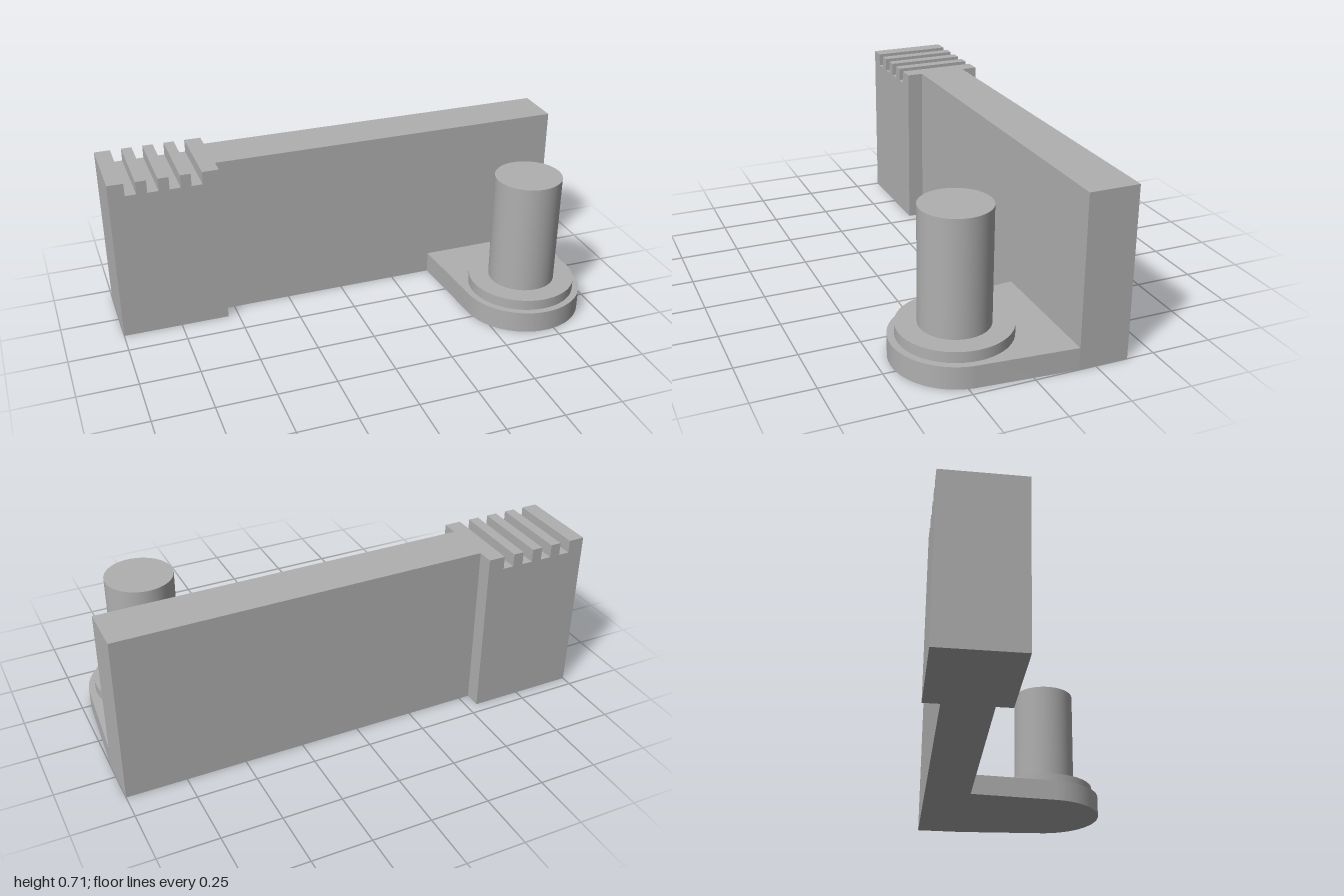
import * as THREE from 'three';
import { toCreasedNormals } from 'three/addons/utils/BufferGeometryUtils.js';

export function createModel() {
  const model = new THREE.Group();
  model.name = 'bracketWithPin';
  const grey = new THREE.MeshStandardMaterial({ color: 0xb0b0b0 });
  grey.name = 'plain grey';

  const add = (name, geometry, x = 0, y = 0, z = 0) => {
    const mesh = new THREE.Mesh(geometry, grey);
    mesh.name = name;
    mesh.position.set(x, y, z);
    model.add(mesh);
  };

  const height = 0.71, wallBack = -0.385, wallFront = -0.18;
  const blockEnd = -0.545, blockBack = -0.453, blockFront = -0.112;

  // Upright wall
  add('wall', new THREE.BoxGeometry(1 - blockEnd, height, wallFront - wallBack),
    (1 + blockEnd) / 2, height / 2, (wallFront + wallBack) / 2);

  // Thick end block with four slots across its top
  const profile = new THREE.Shape();
  profile.moveTo(-1, 0);
  profile.lineTo(blockEnd, 0);
  profile.lineTo(blockEnd, height);
  for (let i = 3; i >= 0; i--) {
    const left = -0.933 + i * 0.0905, right = left + 0.046;
    profile.lineTo(right, height);
    profile.lineTo(right, 0.655);
    profile.lineTo(left, 0.655);
    profile.lineTo(left, height);
  }
  profile.lineTo(-1, height);
  add('slottedBlock', new THREE.ExtrudeGeometry(profile,
    { depth: blockFront - blockBack, bevelEnabled: false }), 0, 0, blockBack);

  // Tapered foot: straight sides run tangent into a round end
  const cx = 0.711, cz = 0.197, footRadius = 0.256, footTop = 0.093;
  const tangentAngle = (x, side) => {
    const dx = x - cx, dz = wallFront - cz;
    return Math.atan2(dz, dx) + side * Math.acos(footRadius / Math.hypot(dx, dz));
  };
  const outline = new THREE.Shape();
  outline.moveTo(0.427, wallFront);
  outline.lineTo(1, wallFront);
  outline.absarc(cx, cz, footRadius, tangentAngle(1, 1),
    tangentAngle(0.427, -1) + Math.PI * 2, false);
  outline.closePath();
  const foot = new THREE.ExtrudeGeometry(outline,
    { depth: footTop, bevelEnabled: false, curveSegments: 48 });
  foot.rotateX(Math.PI / 2);
  add('foot', toCreasedNormals(foot, 0.5), 0, footTop, 0);

  // Collar and pin standing on the foot
  const addRound = (name, radius, bottom, top) => add(name,
    new THREE.CylinderGeometry(radius, radius, top - bottom, 64),
    cx, (top + bottom) / 2, cz);
  addRound('collar', 0.228, footTop, 0.138);
  addRound('pin', 0.142, 0.138, 0.618);

  return model;
}
